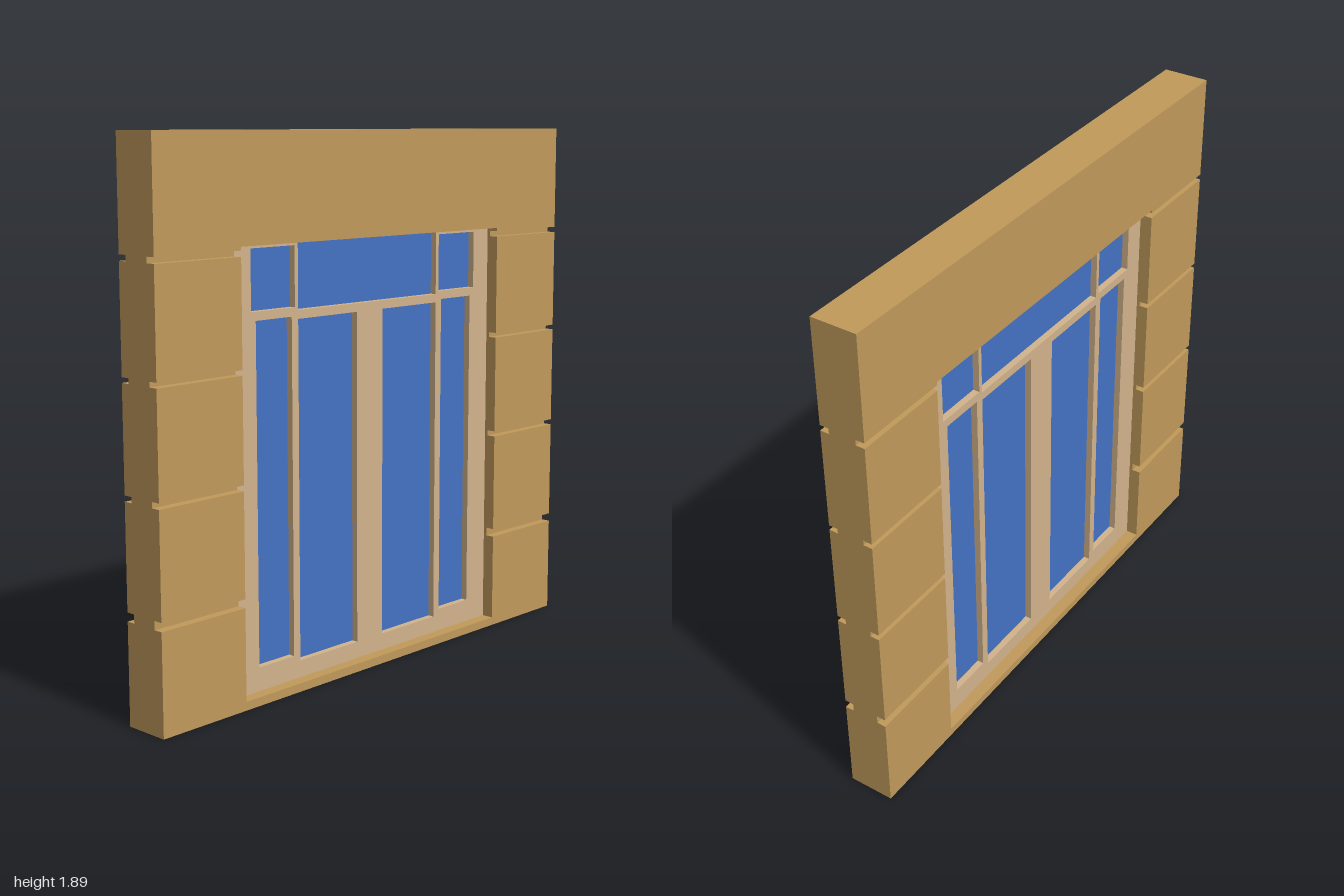
import * as THREE from 'three';

const WOOD = new THREE.MeshStandardMaterial({ color: 0xc19a5b });
const FRAME = new THREE.MeshStandardMaterial({ color: 0xd2b48c });
const GLASS = new THREE.MeshStandardMaterial({ color: 0x4472c4 });

// Closed polygon from corner points
function polygon(points, Type = THREE.Shape) {
  return new Type(points.map(([x, y]) => new THREE.Vector2(x, y)));
}

const rect = (x0, y0, x1, y1) => [[x0, y0], [x1, y0], [x1, y1], [x0, y1]];

// Flat shape extruded evenly to both sides of z = 0
function slab(name, shape, halfDepth, material) {
  const geometry = new THREE.ExtrudeGeometry(shape, { depth: halfDepth * 2, bevelEnabled: false });
  geometry.translate(0, 0, -halfDepth);
  const mesh = new THREE.Mesh(geometry, material);
  mesh.name = name;
  return mesh;
}

export function createModel() {
  const model = new THREE.Group();
  model.name = 'timberWallWithDoor';

  const wallHalf = 0.083, coreHalf = 0.05, frameHalf = 0.038, glassHalf = 0.014;
  const openX = 0.645, sill = 0.03, lintel = 1.527, top = 1.89;

  // Bottom timber, cut down to a sill across the opening
  model.add(slab('bottomTimber', polygon([
    [-1, 0], [1, 0], [1, 0.35], [openX, 0.35], [openX, sill],
    [-openX, sill], [-openX, 0.35], [-1, 0.35],
  ]), wallHalf, WOOD));

  // Top timber, notched slightly over the opening
  model.add(slab('topTimber', polygon([
    [-1, 1.515], [-openX, 1.515], [-openX, lintel], [openX, lintel],
    [openX, 1.515], [1, 1.515], [1, top], [-1, top],
  ]), wallHalf, WOOD));

  // Side timbers with narrow tongues filling the grooves
  const courses = [[0.38, 0.74], [0.76, 1.117], [1.135, 1.495]];
  const grooves = [[0.35, 0.38], [0.74, 0.76], [1.117, 1.135], [1.495, 1.515]];
  for (const side of [-1, 1]) {
    const x0 = side < 0 ? -1 : openX;
    const x1 = side < 0 ? -openX : 1;
    for (const [y0, y1] of courses)
      model.add(slab('sideTimber', polygon(rect(x0, y0, x1, y1)), wallHalf, WOOD));
    for (const [y0, y1] of grooves)
      model.add(slab('tongue', polygon(rect(x0, y0, x1, y1)), coreHalf, WOOD));
  }

  // Panes: door leaves, sidelights and corner lights are mirrored
  const panes = [['transomPane', -0.35, 1.3, 0.35, lintel]];
  for (const [name, x0, y0, x1, y1] of [
    ['doorPane', 0.065, 0.09, 0.35, 1.27],
    ['sidelightPane', 0.38, 0.113, 0.543, 1.28],
    ['cornerPane', 0.365, 1.31, 0.563, 1.515],
  ]) panes.push([name, x0, y0, x1, y1], [name, -x1, y0, -x0, y1]);

  // Recessed frame; the transom opening runs right up to the top timber
  const frame = polygon([
    [-openX, sill], [openX, sill], [openX, lintel], [0.35, lintel],
    [0.35, 1.3], [-0.35, 1.3], [-0.35, lintel], [-openX, lintel],
  ]);
  for (const [name, ...r] of panes)
    if (name !== 'transomPane') frame.holes.push(polygon(rect(...r), THREE.Path));
  model.add(slab('doorFrame', frame, frameHalf, FRAME));

  for (const [name, ...r] of panes)
    model.add(slab(name, polygon(rect(...r)), glassHalf, GLASS));

  return model;
}
